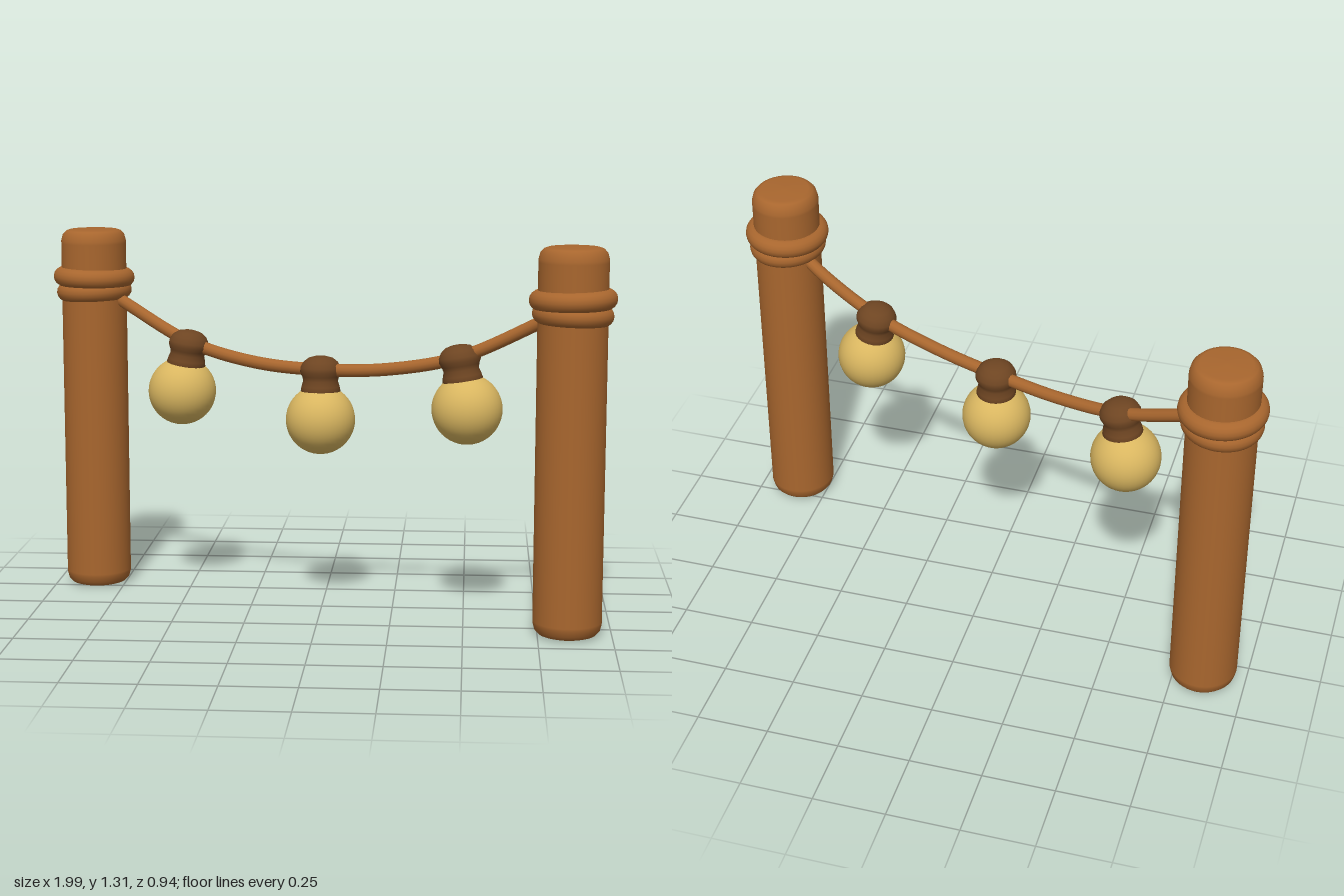
import * as THREE from 'three';

const wood = new THREE.MeshStandardMaterial({ color: 0xa8662e });
wood.name = 'wood brown';
const dark = new THREE.MeshStandardMaterial({ color: 0x6e4522 });
dark.name = 'dark brown';
const glow = new THREE.MeshStandardMaterial({ color: 0xd9b660 });
glow.name = 'warm yellow';

const V3 = (x, y, z) => new THREE.Vector3(x, y, z);

function add(parent, name, geometry, material) {
  const mesh = new THREE.Mesh(geometry, material);
  mesh.name = name;
  parent.add(mesh);
  return mesh;
}

function lathe(points, segments = 40) {
  return new THREE.LatheGeometry(points.map(([r, y]) => new THREE.Vector2(r, y)), segments);
}

// Round post with softened rims and two rope coils near the top
function createPost(side) {
  const post = new THREE.Group();
  post.name = side > 0 ? 'leftPost' : 'rightPost';
  const profile = [[0, 0], [0.085, 0.002], [0.1, 0.007], [0.112, 0.02], [0.118, 0.042], [0.118, 0.05],
    [0.118, 1.255], [0.118, 1.265], [0.112, 1.287], [0.1, 1.3], [0.085, 1.305], [0, 1.307]];
  add(post, 'postShaft', lathe(profile), wood);
  for (const [y, radius, tilt] of [[1.133, 0.114, 0.03], [1.083, 0.103, -0.04]]) {
    const coil = add(post, 'ropeCoil', new THREE.TorusGeometry(radius, 0.034, 16, 48), wood);
    coil.position.y = y;
    coil.rotation.set(Math.PI / 2, tilt * side, 0);
  }
  post.scale.set(0.985, 1, 1.03);
  post.position.set(0.85 * side, 0, 0.32 * side);
  return post;
}

// Socket hanging from the rope with a round bulb, leaning toward the bulb centre
function createLamp(top, bulbCentre) {
  const lamp = new THREE.Group();
  lamp.name = 'lamp';
  const profile = [[0, -0.13], [0.064, -0.13], [0.069, -0.12], [0.066, -0.105], [0.06, -0.085], [0.064, -0.07],
    [0.071, -0.055], [0.07, -0.04], [0.06, -0.02], [0.042, -0.006], [0.02, 0], [0, 0]];
  const socket = add(lamp, 'socket', lathe(profile, 28), dark);
  socket.position.copy(top);
  socket.quaternion.setFromUnitVectors(V3(0, 1, 0), top.clone().sub(bulbCentre).normalize());
  add(lamp, 'bulb', new THREE.SphereGeometry(0.12, 36, 24), glow).position.copy(bulbCentre);
  return lamp;
}

export function createModel() {
  const model = new THREE.Group();
  model.name = 'postsWithStringLights';
  for (const side of [-1, 1]) model.add(createPost(side));

  // Sagging rope between the posts
  const path = new THREE.CatmullRomCurve3([
    V3(-0.83, 1.1, -0.31), V3(-0.72, 1.04, -0.26), V3(-0.48, 0.92, -0.145), V3(-0.24, 0.865, -0.04),
    V3(0, 0.853, 0.05), V3(0.24, 0.868, 0.125), V3(0.48, 0.92, 0.19), V3(0.72, 1.035, 0.255), V3(0.83, 1.1, 0.31),
  ]);
  add(model, 'rope', new THREE.TubeGeometry(path, 64, 0.022, 12), wood);

  // Three lamps along the rope
  model.add(createLamp(V3(-0.475, 0.962, -0.135), V3(-0.508, 0.745, -0.143)));
  model.add(createLamp(V3(0, 0.9, 0.047), V3(0, 0.68, 0.056)));
  model.add(createLamp(V3(0.472, 0.962, 0.187), V3(0.506, 0.745, 0.2)));
  return model;
}
